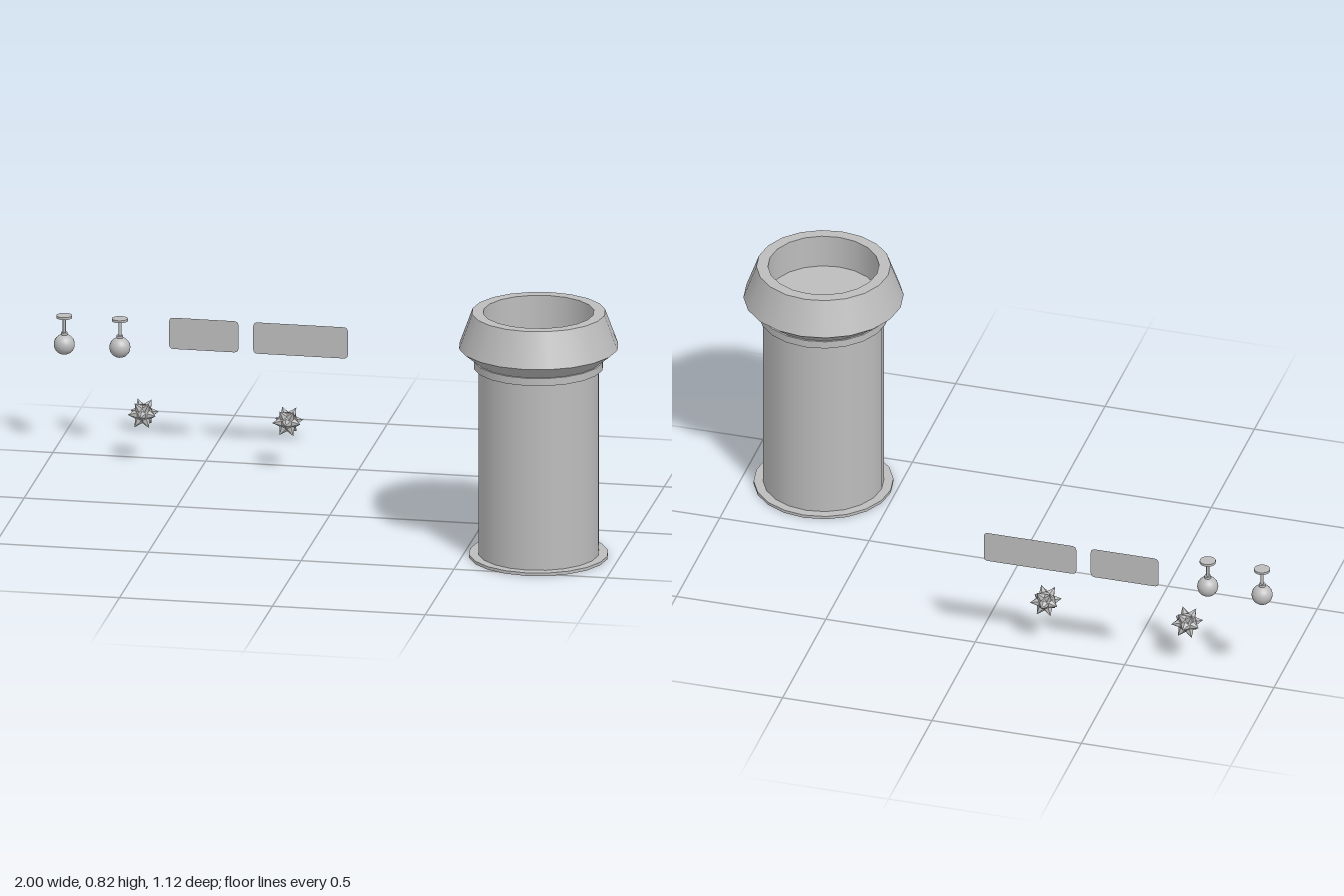
import * as THREE from 'three';
import { mergeGeometries } from 'three/addons/utils/BufferGeometryUtils.js';

const grey = new THREE.MeshStandardMaterial({ color: 0xbcbcbc, side: THREE.DoubleSide });
grey.name = 'plainGrey';
const greyFlat = grey;

function add(parent, name, geometry, x = 0, y = 0, z = 0) {
  const mesh = new THREE.Mesh(geometry, greyFlat);
  mesh.name = name;
  mesh.position.set(x, y, z);
  parent.add(mesh);
  return mesh;
}

// Turned surface with a hard edge at every profile point
function turned(profile, sides) {
  const bands = [];
  for (let i = 0; i < profile.length - 1; i++) {
    const pair = [profile[i], profile[i + 1]].map(([r, y]) => new THREE.Vector2(r, y));
    bands.push(new THREE.LatheGeometry(pair, sides));
  }
  return mergeGeometries(bands);
}

// Hollow pillar: base flange, shaft, neck ring and flared cap with a sunken floor
function createPillar() {
  const pillar = new THREE.Group();
  pillar.name = 'pillar';
  const sides = 20;
  add(pillar, 'baseFlange', turned([[0.195, 0], [0.225, 0], [0.225, 0.01], [0.195, 0.01]], sides));
  add(pillar, 'shaft', turned([[0.195, 0], [0.195, 0.635]], sides));
  add(pillar, 'neckRing', turned([[0.195, 0.635], [0.209, 0.635], [0.209, 0.66], [0.195, 0.66]], sides));
  add(pillar, 'cap', turned(
    [[0.195, 0.66], [0.203, 0.66], [0.258, 0.705], [0.216, 0.82], [0.179, 0.82], [0.179, 0.708]], sides));
  add(pillar, 'capFloor', turned([[0.179, 0.708], [0, 0.708]], sides));
  return pillar;
}

// Ball hanging from a small disc by a stem
function createPendant() {
  const pendant = new THREE.Group();
  pendant.name = 'pendant';
  add(pendant, 'ball', new THREE.SphereGeometry(0.034, 20, 14), 0, 0.36, 0);
  add(pendant, 'collar', new THREE.CylinderGeometry(0.011, 0.011, 0.008, 12), 0, 0.396, 0);
  add(pendant, 'stem', new THREE.CylinderGeometry(0.005, 0.005, 0.052, 10), 0, 0.424, 0);
  add(pendant, 'topDisc', new THREE.CylinderGeometry(0.026, 0.026, 0.008, 16), 0, 0.453, 0);
  return pendant;
}

// Spiked star: two poles along z and two rings of six spikes
function createStar() {
  const star = new THREE.Group();
  star.name = 'spikedStar';
  const R = 0.053;
  const directions = [new THREE.Vector3(0, 0, 1), new THREE.Vector3(0, 0, -1)];
  for (const side of [-1, 1]) {
    for (let i = 0; i < 6; i++) {
      const a = i * Math.PI / 3;
      directions.push(new THREE.Vector3(Math.cos(a) * 0.866, Math.sin(a) * 0.866, side * 0.5));
    }
  }
  const up = new THREE.Vector3(0, 1, 0);
  const spikes = directions.map((d) => {
    const cone = new THREE.ConeGeometry(R * 0.29, R * 0.5, 6, 1, true).toNonIndexed();
    cone.computeVertexNormals();
    cone.translate(0, R * 0.75, 0);
    return cone.applyQuaternion(new THREE.Quaternion().setFromUnitVectors(up, d));
  });
  add(star, 'spikes', mergeGeometries(spikes));
  add(star, 'core', new THREE.IcosahedronGeometry(R * 0.56, 1));
  return star;
}

// Flat rectangle with rounded corners
function plateGeometry(w, h, r) {
  const x = w / 2, y = h / 2;
  const s = new THREE.Shape();
  s.moveTo(-x + r, -y);
  s.lineTo(x - r, -y);
  s.quadraticCurveTo(x, -y, x, -y + r);
  s.lineTo(x, y - r);
  s.quadraticCurveTo(x, y, x - r, y);
  s.lineTo(-x + r, y);
  s.quadraticCurveTo(-x, y, -x, y - r);
  s.lineTo(-x, -y + r);
  s.quadraticCurveTo(-x, -y, -x + r, -y);
  return new THREE.ShapeGeometry(s, 4);
}

export function createModel() {
  const model = new THREE.Group();
  model.name = 'model';

  const pillar = createPillar();
  pillar.position.set(0.74, 0, 0.302);
  model.add(pillar);

  for (const x of [-0.967, -0.785]) {
    const pendant = createPendant();
    pendant.position.set(x, 0, -0.523);
    model.add(pendant);
  }

  for (const x of [-0.695, -0.222]) {
    const star = createStar();
    star.position.set(x, 0.165, -0.45);
    model.add(star);
  }

  add(model, 'shortPlate', plateGeometry(0.227, 0.105, 0.015), -0.5175, 0.405, -0.56);
  add(model, 'longPlate', plateGeometry(0.31, 0.105, 0.015), -0.201, 0.405, -0.56);
  return model;
}
